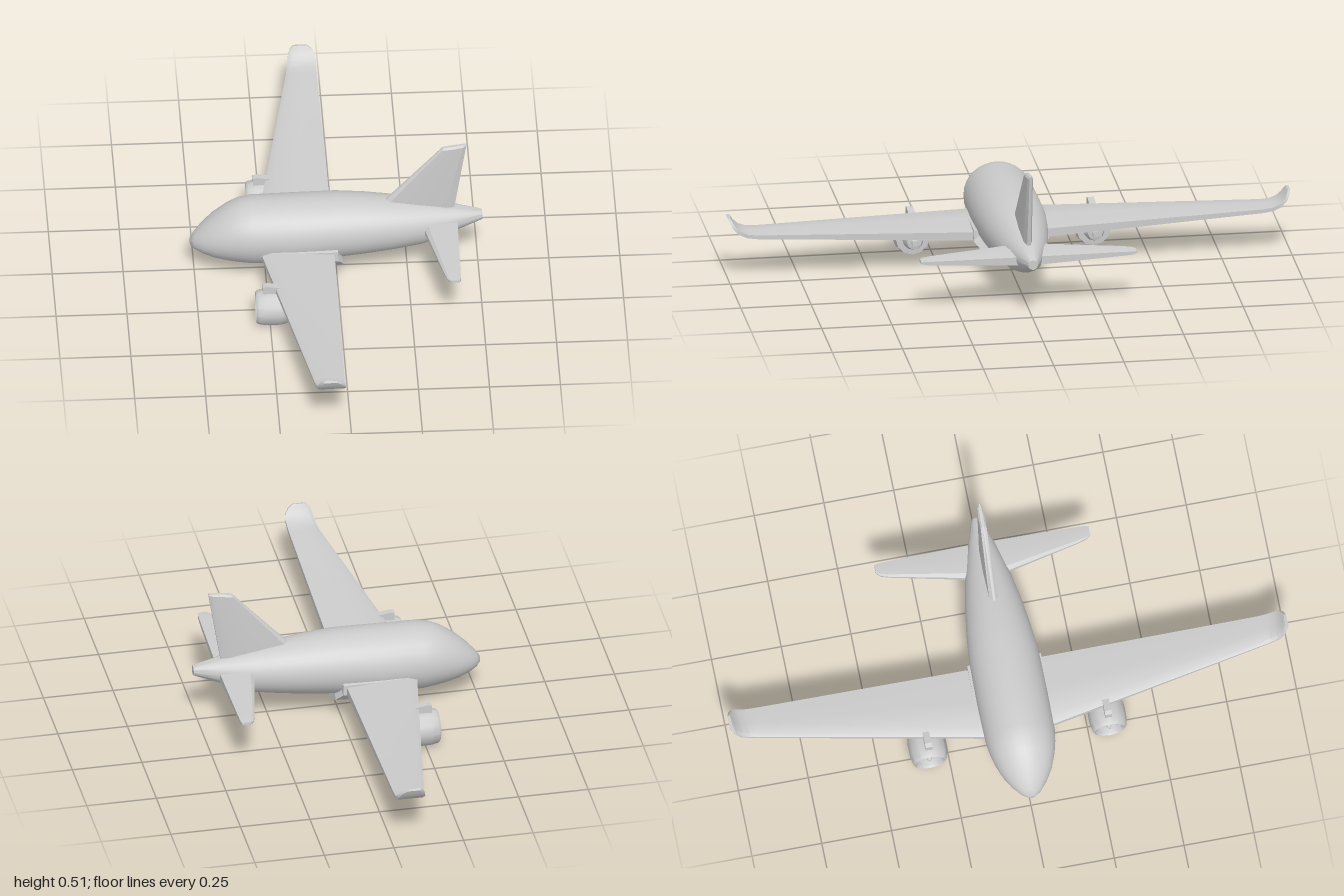
import * as THREE from 'three';
import { toCreasedNormals } from 'three/addons/utils/BufferGeometryUtils.js';

const V = (x, y, z) => new THREE.Vector3(x, y, z);
const material = new THREE.MeshStandardMaterial({ color: 0xcccccc });
const openMaterial = new THREE.MeshStandardMaterial({ color: 0xcccccc, side: THREE.DoubleSide });

function mesh(name, geometry, mat = material) {
  const m = new THREE.Mesh(geometry, mat);
  m.name = name;
  return m;
}

// Closed skin through rings of points, with capped ends and outward faces
function loft(rings, crease = 0.5) {
  const n = rings[0].length, tris = [];
  for (let i = 0; i < rings.length - 1; i++) {
    for (let j = 0; j < n; j++) {
      const k = (j + 1) % n;
      const a = rings[i][j], b = rings[i][k], c = rings[i + 1][k], d = rings[i + 1][j];
      tris.push([a, b, c], [a, c, d]);
    }
  }
  const first = rings[0], last = rings[rings.length - 1];
  for (let j = 1; j < n - 1; j++) {
    tris.push([first[0], first[j + 1], first[j]], [last[0], last[j], last[j + 1]]);
  }
  let volume = 0;
  for (const [a, b, c] of tris) volume += a.dot(b.clone().cross(c));
  if (volume < 0) tris.forEach(t => t.reverse());
  const g = new THREE.BufferGeometry().setFromPoints(tris.flat());
  return toCreasedNormals(g, crease);
}

// Round hull: x, bottom, top, half width
function fuselage() {
  const stations = [
    [-0.515, 0.115, 0.137, 0.012], [-0.5, 0.1, 0.16, 0.035], [-0.47, 0.085, 0.193, 0.062],
    [-0.43, 0.072, 0.23, 0.088], [-0.38, 0.061, 0.265, 0.108], [-0.34, 0.055, 0.283, 0.118],
    [-0.3, 0.05, 0.29, 0.124], [-0.15, 0.048, 0.293, 0.126], [0, 0.066, 0.295, 0.124],
    [0.1, 0.075, 0.289, 0.115], [0.2, 0.086, 0.278, 0.101], [0.3, 0.1, 0.263, 0.082],
    [0.36, 0.118, 0.252, 0.066], [0.43, 0.15, 0.238, 0.045], [0.5, 0.178, 0.224, 0.023],
    [0.515, 0.184, 0.219, 0.017],
  ];
  return loft(stations.map(([x, lo, hi, w]) => Array.from({ length: 32 }, (_, i) => {
    const a = i / 32 * Math.PI * 2;
    return V(x, (lo + hi) / 2 + Math.sin(a) * (hi - lo) / 2, Math.cos(a) * w);
  })), 0.7);
}

// Faceted belly fairing that carries the wing roots
function bellyFairing() {
  const half = [[0.09, 0.16], [0.132, 0.15], [0.134, 0.108], [0.105, 0.072], [0.06, 0.042], [0, 0.028]];
  const outline = [...half, ...half.slice(0, -1).reverse().map(([z, y]) => [-z, y])];
  return loft([[-0.265, 0.85, 0.022], [-0.2, 1, 0], [0.012, 1, 0.014]].map(([x, w, lift], i) =>
    outline.map(([z, y]) => V(
      i === 2 ? THREE.MathUtils.clamp(0.025 - (y - 0.07) * 0.6, 0, 0.025) : x,
      y + lift * (0.16 - y) / 0.13, z * w))), 0.4);
}

// Chord profile: fraction along chord, fraction of thickness
const profile = [[0, -0.25], [0, 0.2], [0.12, 0.5], [0.5, 0.5], [1, 0.3], [1, -0.4], [0.1, -0.5]];

// Wing stations: span z, height y, front x, rear x, thickness, bank angle
function liftingSurface(stations, side) {
  return loft(stations.map(([z, y, x0, x1, t, bank]) => profile.map(([f, h]) =>
    V(x0 + (x1 - x0) * f, y + Math.cos(bank) * h * t, side * (z - Math.sin(bank) * h * t)))), 0.5);
}

const wing = [
  [0.06, 0.126, -0.277, -0.012, 0.046, 0.04], [0.13, 0.129, -0.265, -0.012, 0.044, 0.04],
  [0.9, 0.164, -0.128, -0.018, 0.02, 0.05], [0.935, 0.169, -0.123, -0.018, 0.019, 0.3],
  [0.962, 0.181, -0.12, -0.018, 0.017, 0.65], [0.981, 0.2, -0.115, -0.022, 0.015, 0.95],
  [0.99, 0.216, -0.109, -0.033, 0.014, 1.15], [0.996, 0.227, -0.098, -0.05, 0.012, 1.25],
];
const tailplane = [
  [0.02, 0.187, 0.296, 0.427, 0.046, 0.03], [0.06, 0.188, 0.305, 0.426, 0.042, 0.03],
  [0.34, 0.193, 0.364, 0.421, 0.02, 0.03], [0.37, 0.194, 0.373, 0.42, 0.016, 0.03],
  [0.384, 0.195, 0.385, 0.417, 0.01, 0.03],
];

// Fin with bevelled front, rear and top edges
function fin() {
  const levels = [ // front x, front y, rear x, rear y, half thickness
    [0.15, 0.25, 0.413, 0.22, 0.019], [0.178, 0.282, 0.418, 0.25, 0.018],
    [0.368, 0.49, 0.459, 0.503, 0.012], [0.376, 0.498, 0.46, 0.51, 0.006],
  ];
  const section = [[0, 0.25], [0.06, 0.9], [0.5, 1], [0.88, 0.8], [1, 0.35]];
  const ring = [...section, ...section.slice().reverse().map(([f, h]) => [f, -h])];
  return loft(levels.map(([x0, y0, x1, y1, t]) => ring.map(([f, h]) =>
    V(x0 + (x1 - x0) * f, y0 + (y1 - y0) * f, h * t))), 0.25);
}

// Revolved part along x: pairs of radius, x
function turned(points, sides) {
  const g = new THREE.LatheGeometry(points.map(p => new THREE.Vector2(...p)), sides);
  g.rotateZ(-Math.PI / 2);
  return toCreasedNormals(g, 0.6);
}

function engine(side) {
  const group = new THREE.Group();
  group.name = side > 0 ? 'leftEngine' : 'rightEngine';
  group.add(mesh('nacelle', turned([
    [0.045, -0.265], [0.05, -0.292], [0.055, -0.3], [0.061, -0.293], [0.066, -0.265],
    [0.066, -0.215], [0.06, -0.19], [0.036, -0.188],
  ], 12), openMaterial));
  group.add(mesh('exhaustCore', turned([
    [0.038, -0.2], [0.036, -0.172], [0.026, -0.147], [0.012, -0.144], [0.01, -0.132], [0, -0.13],
  ], 12), openMaterial));
  group.add(mesh('fanBackPlate', turned([[0, -0.262], [0.05, -0.262]], 12), openMaterial));
  group.add(mesh('spinner', turned([[0, -0.294], [0.008, -0.288], [0.014, -0.265]], 12), openMaterial));
  for (let i = 0; i < 8; i++) {
    const blade = new THREE.BoxGeometry(0.004, 0.038, 0.014);
    blade.rotateY(0.6).translate(-0.274, 0.029, 0).rotateX(i * Math.PI / 4);
    group.add(mesh('fanBlade', blade));
  }
  // Pylon joining nacelle and wing
  const side2D = new THREE.Shape([[-0.275, 0.055], [-0.275, 0.09], [-0.26, 0.094],
    [-0.16, 0.078], [-0.15, 0.055], [-0.19, 0.03]].map(p => new THREE.Vector2(...p)));
  const pylon = new THREE.ExtrudeGeometry(side2D, { depth: 0.024, bevelEnabled: false });
  group.add(mesh('pylon', pylon.translate(0, 0, -0.012)));
  group.position.set(0, 0.066, side * 0.322);
  return group;
}

export function createModel() {
  const model = new THREE.Group();
  model.name = 'airliner';
  model.add(mesh('fuselage', fuselage()), mesh('bellyFairing', bellyFairing()), mesh('tailFin', fin()));
  for (const side of [1, -1]) {
    const label = side > 0 ? 'left' : 'right';
    model.add(mesh(label + 'Wing', liftingSurface(wing, side)));
    model.add(mesh(label + 'Tailplane', liftingSurface(tailplane, side)));
    model.add(engine(side));
  }
  return model;
}
